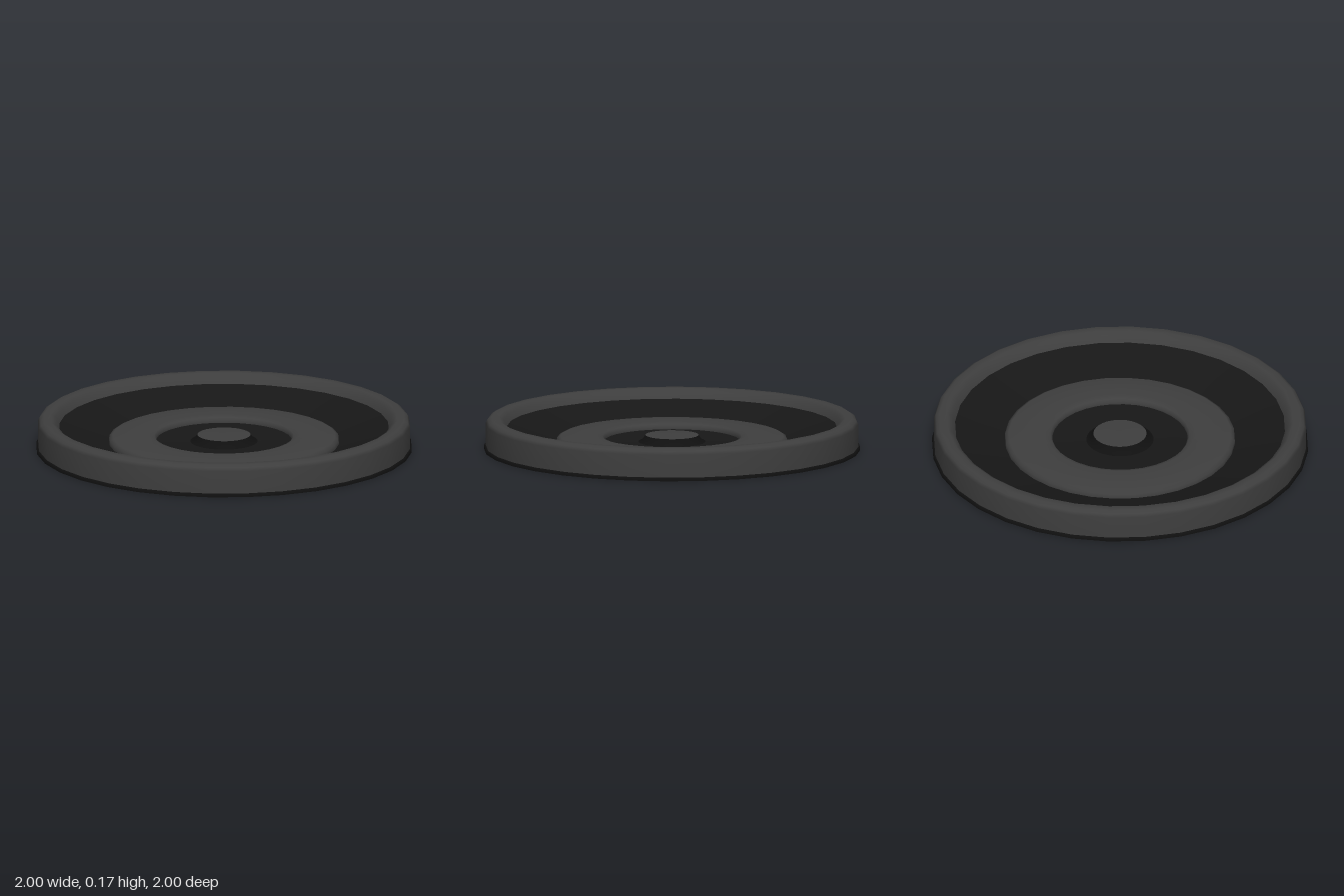
import * as THREE from 'three';

const SIDES = 32;
const GREY = 0x3e3e3e, DARK = 0x171717, BLACK = 0x101010;

// Open shell turned from [radius, height] points, with flats facing the axes
function turned(name, color, profile) {
  const points = profile.map(([r, y]) => new THREE.Vector2(r, y));
  const geometry = new THREE.LatheGeometry(points, SIDES, Math.PI / SIDES);
  const material = new THREE.MeshStandardMaterial({ color, side: THREE.DoubleSide });
  const mesh = new THREE.Mesh(geometry, material);
  mesh.name = name;
  return mesh;
}

export function createModel() {
  const model = new THREE.Group();
  model.name = 'roundSpeaker';
  model.add(
    // thin black lip around the open bottom
    turned('baseLip', BLACK, [[1.005, 0], [1.005, 0.018], [0.995, 0.018]]),
    // outer wall rolling over into the dish
    turned('rim', GREY, [
      [0.995, 0.018], [0.995, 0.14], [0.985, 0.158], [0.965, 0.171],
      [0.925, 0.171], [0.9, 0.155], [0.882, 0.12],
    ]),
    // shallow dark cone
    turned('dish', DARK, [[0.882, 0.12], [0.615, 0.036]]),
    // raised ring with rounded edges
    turned('raisedRing', GREY, [
      [0.615, 0.036], [0.614, 0.06], [0.595, 0.071], [0.5, 0.08],
      [0.4, 0.08], [0.372, 0.072], [0.362, 0.06], [0.362, 0.045],
    ]),
    // recessed floor and flared skirt of the button
    turned('innerFloor', DARK, [[0.362, 0.045], [0.18, 0.042]]),
    turned('buttonSkirt', BLACK, [[0.18, 0.042], [0.16, 0.05], [0.142, 0.078]]),
    // centre button
    turned('buttonTop', GREY, [[0.142, 0.078], [0.08, 0.081], [0, 0.082]]),
  );
  return model;
}
